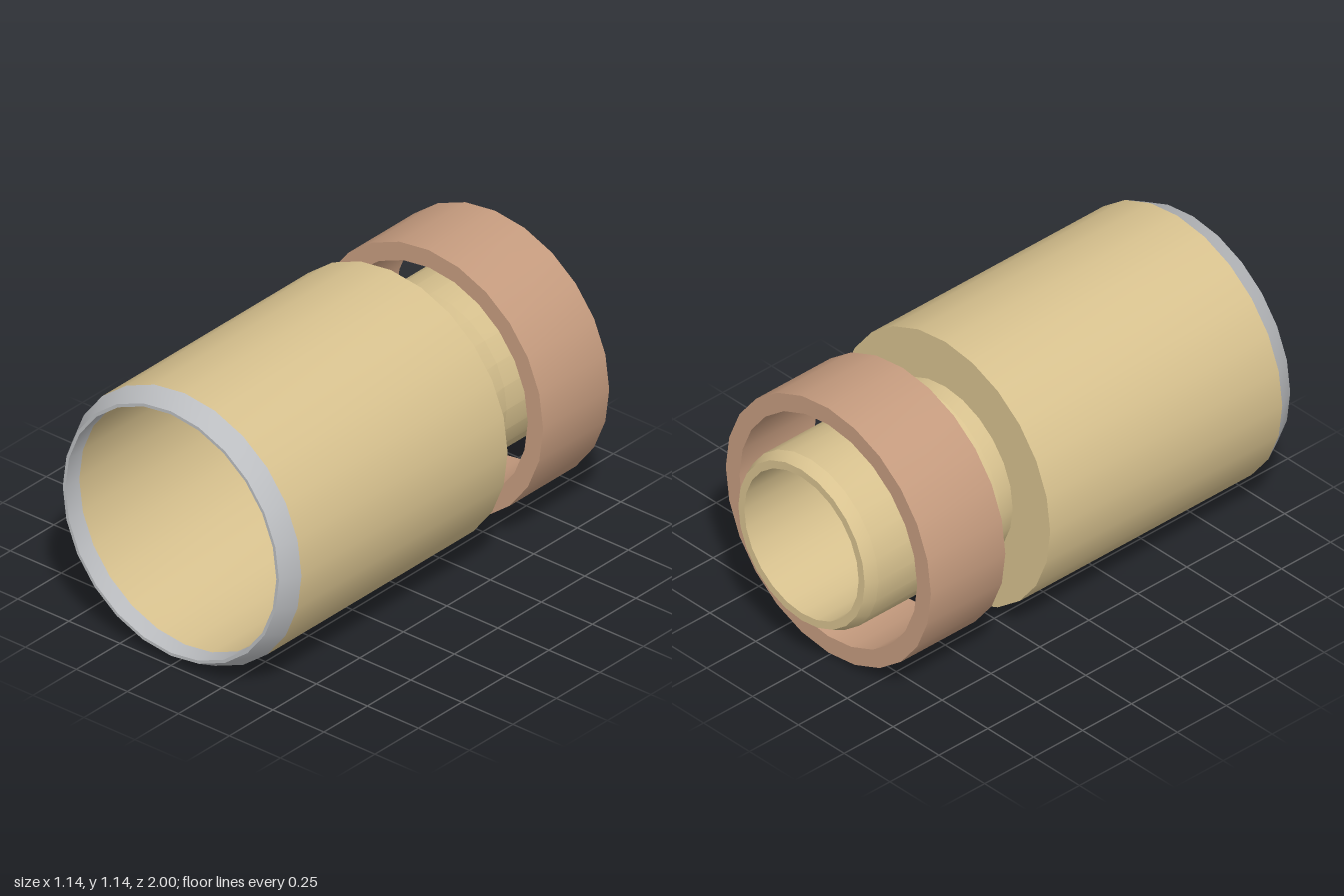
import * as THREE from 'three';
import { toCreasedNormals } from 'three/addons/utils/BufferGeometryUtils.js';

const SIDES = 24;
const AXIS_Y = 0.572;

// Closed ring turned around the z axis; profile points are [radius, z],
// rising along the outside and returning down the inside.
function turned(name, profile, color) {
  const points = [...profile, profile[0]].map(([r, z]) => new THREE.Vector2(r, z));
  const lathe = new THREE.LatheGeometry(points, SIDES).rotateX(Math.PI / 2);
  const material = new THREE.MeshStandardMaterial({ color });
  const mesh = new THREE.Mesh(toCreasedNormals(lathe, 0.3), material);
  mesh.name = name;
  mesh.position.y = AXIS_Y;
  return mesh;
}

export function createModel() {
  const group = new THREE.Group();
  group.name = 'steppedTube';
  const tan = 0xd8c28f, copper = 0xc69c7f, steel = 0xbbbdc0;

  group.add(
    // Wide sleeve, hollow at the front, with a thick pierced floor
    turned('sleeve', [
      [0.572, -0.265], [0.572, 0.92], [0.517, 0.92],
      [0.517, 0.1], [0.312, 0.1], [0.312, -0.265],
    ], tan),

    // Bevelled front lip
    turned('frontLip', [
      [0.572, 0.92], [0.53, 1], [0.517, 1], [0.517, 0.92],
    ], steel),

    // Narrow neck with a barbed step and a chamfered end
    turned('neck', [
      [0.345, -1], [0.367, -0.95], [0.367, -0.5], [0.392, -0.35],
      [0.367, -0.35], [0.367, -0.265], [0.312, -0.265], [0.312, -1],
    ], tan),

    // Loose ring around the neck
    turned('looseRing', [
      [0.56, -0.863], [0.56, -0.483], [0.485, -0.483], [0.485, -0.863],
    ], copper),
  );
  return group;
}
